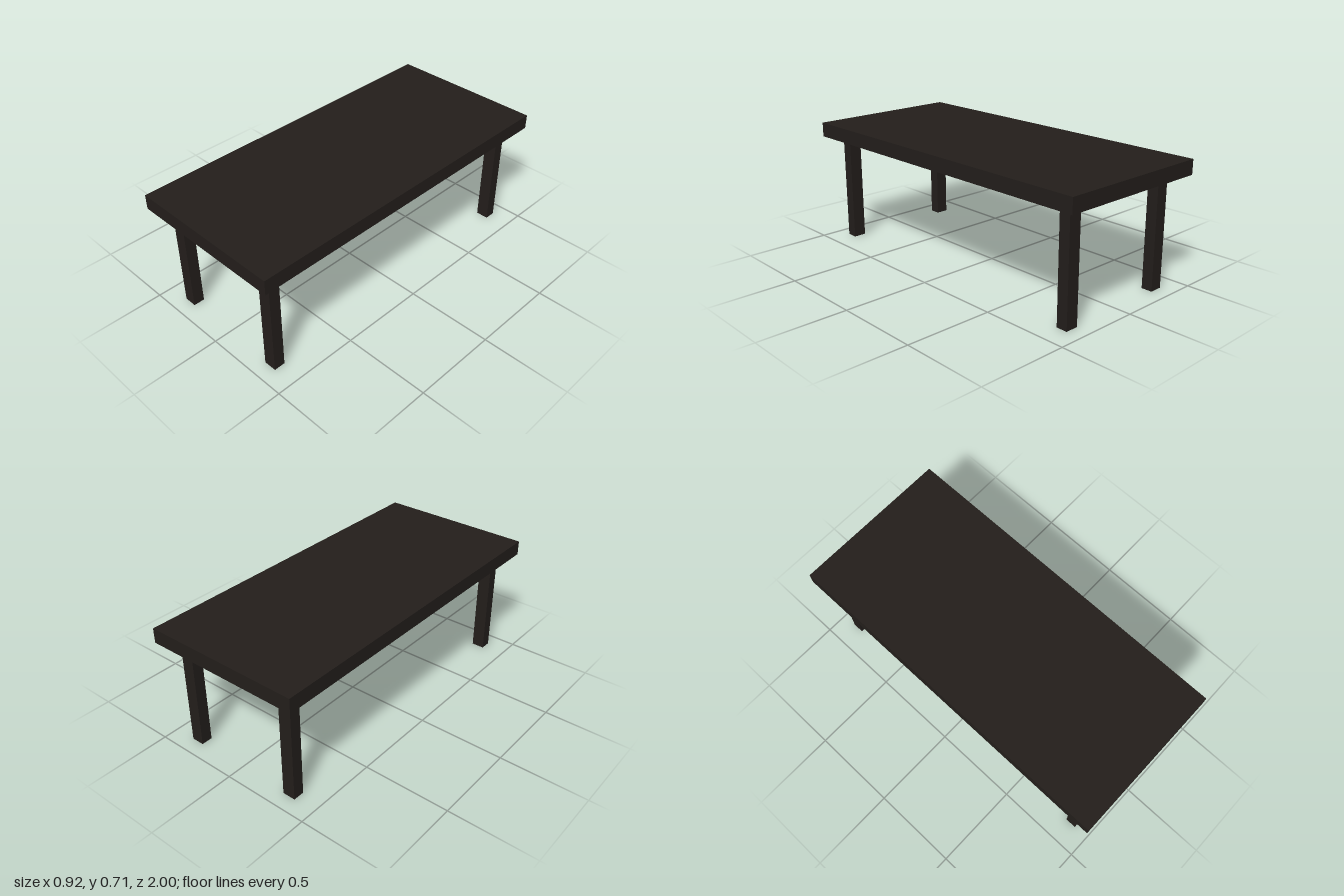
import * as THREE from 'three';

export function createModel() {
  const group = new THREE.Group();
  group.name = 'table';
  const wood = new THREE.MeshStandardMaterial({ color: 0x231e1b });

  const legHeight = 0.628;
  const topHeight = 0.084;

  // Thick slab top
  const top = new THREE.Mesh(new THREE.BoxGeometry(0.916, topHeight, 2), wood);
  top.name = 'tableTop';
  top.position.y = legHeight + topHeight / 2;
  group.add(top);

  // Four legs, set in from the corners
  const legGeometry = new THREE.BoxGeometry(0.074, legHeight, 0.064);
  for (const [end, z] of [['front', 0.88], ['back', -0.88]]) {
    for (const [side, x] of [['Left', 0.334], ['Right', -0.334]]) {
      const leg = new THREE.Mesh(legGeometry, wood);
      leg.name = `${end}${side}Leg`;
      leg.position.set(x, legHeight / 2, z);
      group.add(leg);
    }
  }
  return group;
}
